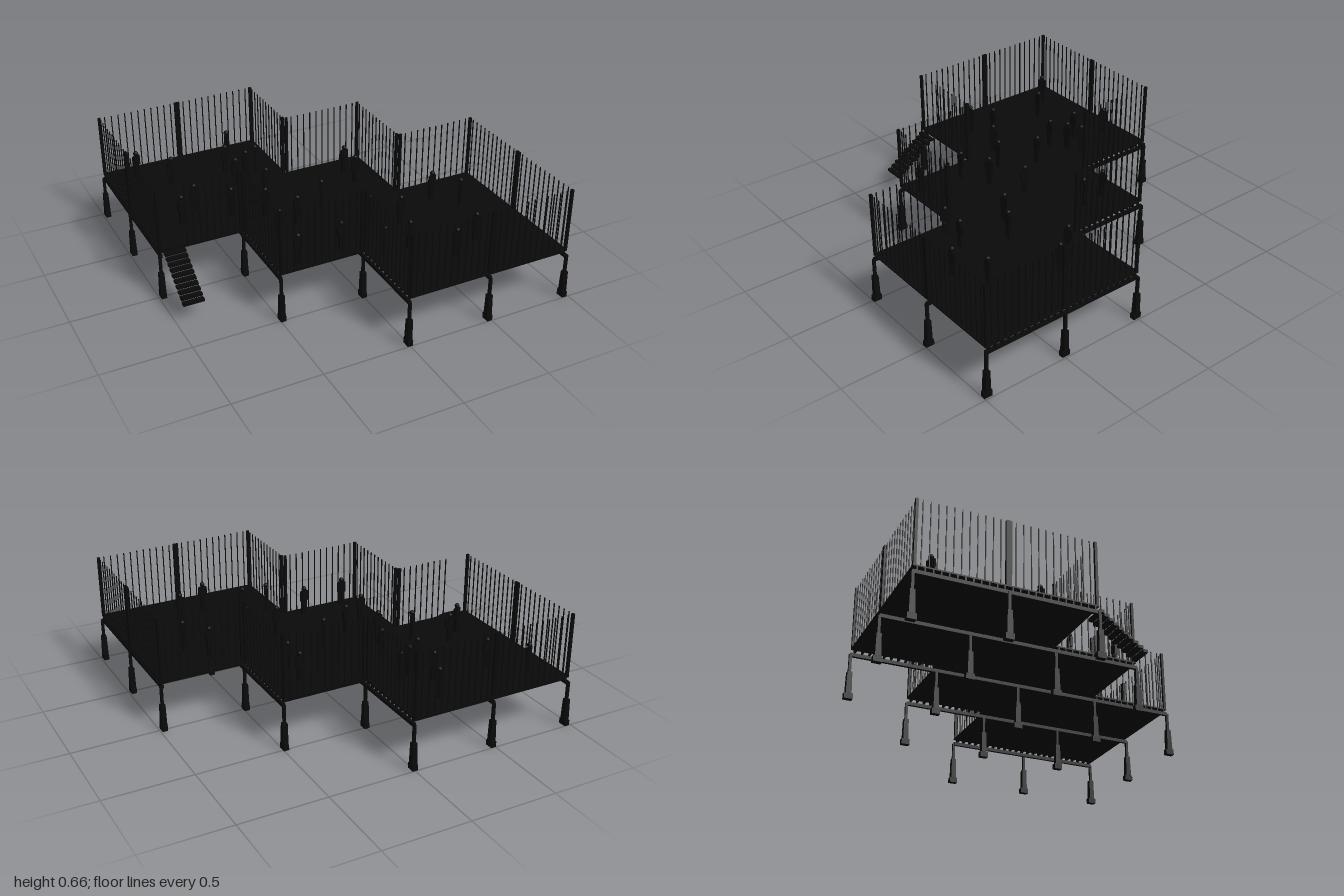
import * as THREE from 'three';
import { mergeGeometries } from 'three/addons/utils/BufferGeometryUtils.js';

const CELL = 0.488;
// Occupied x cells [first, end) for each row of cells along z; the same table works with x and z swapped
const ROWS = [[-2, 0], [-2, 1], [-1, 2], [0, 2]];
const filled = (i, j) => j >= -2 && j < 2 && i >= ROWS[j + 2][0] && i < ROWS[j + 2][1];

function box(w, h, d, x, y, z) {
  return new THREE.BoxGeometry(w, h, d).translate(x, y, z);
}

export function createModel() {
  const group = new THREE.Group();
  const material = new THREE.MeshStandardMaterial({ color: 0x0a0a0a });
  const add = (name, parts) => {
    const mesh = new THREE.Mesh(mergeGeometries(parts.map((g) => g.toNonIndexed())), material);
    mesh.name = name;
    group.add(mesh);
  };

  // Deck boards, joists along x and beams along z
  const boards = [], joists = [], beams = [];
  ROWS.forEach(([a, b], r) => {
    const z0 = (r - 2) * CELL;
    const length = (b - a) * CELL, mid = (a + b) / 2 * CELL;
    boards.push(box(length, 0.008, CELL, mid, 0.291, z0 + CELL / 2));
    for (let k = 0; k < 12; k++) {
      joists.push(box(length, 0.02, 0.008, mid, 0.277, z0 + (k + 0.5) * CELL / 12));
    }
  });
  for (let i = -2; i <= 2; i++) {
    const spans = [-2, -1, 0, 1].filter((j) => filled(i, j) || filled(i - 1, j));
    const a = Math.min(...spans), b = Math.max(...spans) + 1;
    const x = i === -2 ? i * CELL + 0.008 : i === 2 ? i * CELL - 0.008 : i * CELL;
    beams.push(box(0.016, 0.02, (b - a) * CELL, x, 0.258, (a + b) / 2 * CELL));
  }
  add('deckBoards', boards);
  add('joists', joists);
  add('beams', beams);

  // Supports at every corner of the deck grid: foot, tapered pier and slim post
  const feet = [], piers = [], posts = [];
  for (let i = -2; i <= 2; i++) {
    for (let j = -2; j <= 2; j++) {
      if (![[0, 0], [-1, 0], [0, -1], [-1, -1]].some(([a, b]) => filled(i + a, j + b))) continue;
      const x = i * CELL, z = j * CELL;
      feet.push(box(0.03, 0.032, 0.048, x, 0.016, z));
      const pier = new THREE.CylinderGeometry(0.019, 0.0225, 0.125, 4, 1);
      piers.push(pier.rotateY(Math.PI / 4).translate(x, 0.0935, z));
      posts.push(box(0.015, 0.112, 0.015, x, 0.204, z));
    }
  }
  add('feet', feet);
  add('piers', piers.map((g) => {
    const flat = g.toNonIndexed();
    flat.computeVertexNormals();
    return flat;
  }));
  add('supportPosts', posts);

  // Railing along every outer edge, with an opening above the stairs
  const railPosts = [], balusters = [];
  const sides = [[1, 0], [-1, 0], [0, 1], [0, -1]];
  for (let i = -2; i < 2; i++) {
    for (let j = -2; j < 2; j++) {
      if (!filled(i, j)) continue;
      for (const [nx, nz] of sides) {
        if (filled(i + nx, j + nz)) continue;
        for (let k = 0; k <= 12; k++) {
          const end = k === 0 || k === 12;
          const along = THREE.MathUtils.clamp(k / 12 - 0.5, -0.484, 0.484) * CELL;
          const out = CELL / 2 - 0.008;
          const x = (i + 0.5) * CELL + nx * out + Math.abs(nz) * along;
          const z = (j + 0.5) * CELL + nz * out + Math.abs(nx) * along;
          const atStairs = nz === 1 && i === -2 && k > 0 && k < 4;
          if (atStairs) continue;
          const t = end ? 0.015 : 0.005;
          (end ? railPosts : balusters).push(box(t, 0.366, t, x, 0.477, z));
        }
      }
    }
  }
  add('railPosts', railPosts);
  add('balusters', balusters);

  // Open stair treads
  const treads = [];
  for (let k = 0; k < 10; k++) {
    treads.push(box(0.12, 0.016, 0.028, -0.897, 0.28 - k * 0.0192, 0.025 + k * 0.0267));
  }
  add('stairTreads', treads);

  // Standing figures: x, z, turn
  const people = [
    [-0.81, -0.83, 0.5], [-0.23, -0.84, 0.9], [-0.65, -0.67, 0], [-0.31, -0.67, 0],
    [-0.15, -0.59, 1.2], [-0.23, -0.55, 0.3], [-0.32, -0.49, 0], [-0.21, -0.3, 0.2],
    [-0.65, -0.31, 0], [-0.76, -0.22, 0.4], [-0.31, -0.09, 0], [0.32, -0.34, 0.3],
    [0.32, -0.2, 0], [-0.19, 0.07, 0.4], [-0.34, 0.16, 0], [-0.36, 0.43, 0],
    [-0.1, 0.42, 0.2], [0.32, 0.33, 0], [0.72, 0.31, 0.9], [0.08, 0.57, 1.1],
    [0.23, 0.58, 0], [0.59, 0.67, 0], [0.41, 0.76, 0], [-0.48, -0.18, 0.8],
    [0.01, -0.03, 1.2], [0.17, 0.24, 0.2], [0.62, 0.17, 0.3],
  ];
  people.forEach(([x, z, turn]) => {
    const parts = [
      box(0.03, 0.06, 0.018, 0, 0.413, 0),
      new THREE.SphereGeometry(0.0145, 10, 8).translate(0, 0.456, 0),
    ];
    for (const s of [-1, 1]) {
      parts.push(box(0.014, 0.09, 0.017, s * 0.0085, 0.34, 0));
      parts.push(box(0.01, 0.062, 0.014, s * 0.0205, 0.409, 0));
    }
    add('figure', parts);
    const figure = group.children[group.children.length - 1];
    figure.position.set(x, 0, z);
    figure.rotation.y = turn;
  });

  return group;
}
